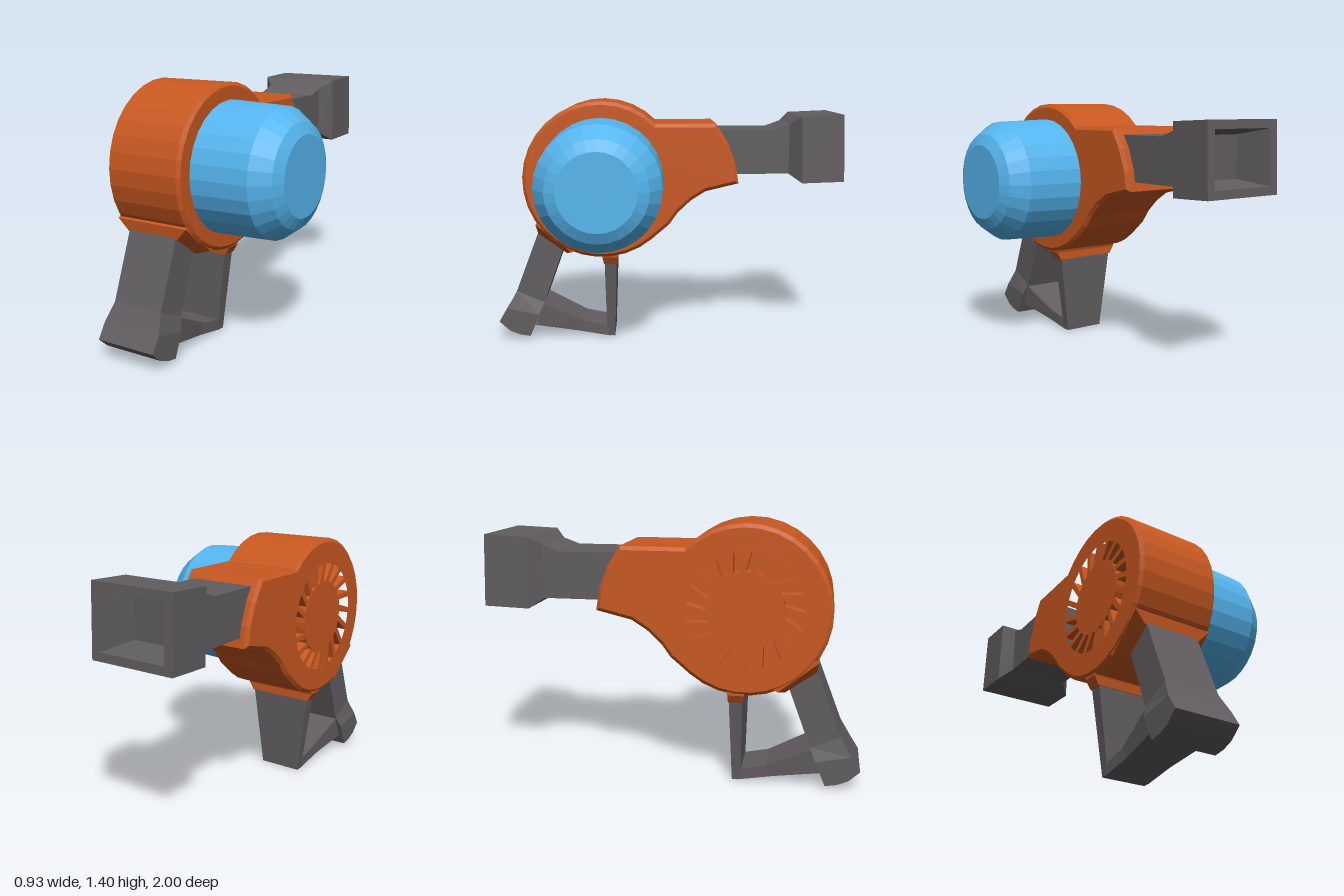
import * as THREE from 'three';

const material = (color) => new THREE.MeshStandardMaterial({ color, flatShading: true });
const MID_X = -0.225; // centre plane of housing, grip and nozzle
const HUB_Z = 0.385, HUB_Y = 0.955; // fan axis

// Joins rectangular sections [[z, y], [z, y], halfWidth] into a closed solid
function loft(sections) {
  const pos = [], index = [];
  for (const [a, b, w] of sections) {
    pos.push(MID_X - w, a[1], a[0], MID_X + w, a[1], a[0]);
    pos.push(MID_X + w, b[1], b[0], MID_X - w, b[1], b[0]);
  }
  index.push(0, 1, 2, 0, 2, 3);
  for (let s = 0; s < sections.length - 1; s++) {
    for (let i = 0; i < 4; i++) {
      const j = (i + 1) % 4, p = s * 4, q = p + 4;
      index.push(p + i, q + i, q + j, p + i, q + j, p + j);
    }
  }
  const e = (sections.length - 1) * 4;
  index.push(e + 3, e + 2, e + 1, e + 3, e + 1, e);
  const g = new THREE.BufferGeometry();
  g.setAttribute('position', new THREE.Float32BufferAttribute(pos, 3));
  g.setIndex(index);
  const flat = g.toNonIndexed();
  flat.computeVertexNormals();
  return flat;
}

// Round fan housing with the spout, extruded across x
function housingGeometry() {
  const pts = [];
  const from = 2.363, to = -2.27, steps = 24;
  for (let i = 0; i <= steps; i++) {
    const t = from + (to - from) * i / steps;
    pts.push(new THREE.Vector2(HUB_Z + 0.44 * Math.cos(t), HUB_Y + 0.44 * Math.sin(t)));
  }
  for (const [z, y] of [[0, 0.705], [-0.05, 0.775], [-0.13, 0.85], [-0.22, 0.907], [-0.4, 0.95],
    [-0.384, 1.045], [-0.34, 1.163], [-0.277, 1.265]]) pts.push(new THREE.Vector2(z, y));
  const shape = new THREE.Shape(pts);
  const hole = new THREE.Path();
  hole.absarc(HUB_Z, HUB_Y, 0.315, 0, Math.PI * 2, true);
  shape.holes.push(hole);
  const g = new THREE.ExtrudeGeometry(shape, {
    depth: 0.425, curveSegments: 16, bevelEnabled: true, bevelSegments: 1,
    bevelThickness: 0.016, bevelSize: 0.02, bevelOffset: 0,
  });
  // keep the outline at its drawn size
  g.translate(-HUB_Z, -HUB_Y, 0).scale(0.97, 0.97, 1).translate(HUB_Z, HUB_Y, 0);
  return g.rotateY(-Math.PI / 2).translate(-0.009, 0, 0);
}

export function createModel() {
  const model = new THREE.Group();
  const orange = material(0xc85820), grey = material(0x615d60), blue = material(0x55b5ee);
  const add = (name, geometry, mat, parent = model) => {
    const mesh = new THREE.Mesh(geometry, mat);
    mesh.name = name;
    parent.add(mesh);
    return mesh;
  };

  add('housing', housingGeometry(), orange);

  // Motor cover on the left side
  const profile = [[0, -0.05], [0.355, -0.05], [0.355, 0.01], [0.344, 0.335], [0.275, 0.432], [0.213, 0.463], [0, 0.463]]
    .map(([r, x]) => new THREE.Vector2(r, x));
  add('motorCover', new THREE.LatheGeometry(profile, 28).rotateZ(-Math.PI / 2).translate(0, HUB_Y, HUB_Z), blue);

  // Air intake: recessed floor, hub disc and slanted fins
  const intake = new THREE.Group();
  intake.name = 'airIntake';
  intake.position.set(0, HUB_Y, HUB_Z);
  model.add(intake);
  add('intakeFloor', new THREE.CylinderGeometry(0.33, 0.33, 0.03, 32).rotateZ(Math.PI / 2).translate(-0.36, 0, 0), orange, intake);
  add('intakeHub', new THREE.CylinderGeometry(0.205, 0.205, 0.1, 20).rotateZ(Math.PI / 2).translate(-0.395, 0, 0), orange, intake);
  for (let i = 0; i < 20; i++) {
    const fin = new THREE.BoxGeometry(0.09, 0.15, 0.03).rotateX(0.3)
      .translate(-0.398, 0.26, 0).rotateX(i * Math.PI / 10);
    add('intakeFin', fin, orange, intake);
  }

  // Nozzle with flared hollow end
  add('nozzle', loft([
    [[-0.2, 0.985], [-0.2, 1.235], 0.18],
    [[-0.6, 0.985], [-0.6, 1.235], 0.18],
    [[-0.69, 0.985], [-0.69, 1.268], 0.18],
    [[-0.76, 0.937], [-0.75, 1.315], 0.243],
    [[-1.0, 0.945], [-0.985, 1.325], 0.243],
    [[-0.998, 0.99], [-0.987, 1.28], 0.195],
    [[-0.8, 1.015], [-0.8, 1.245], 0.155],
  ]), grey);

  // Brackets joining the grip to the housing
  add('frontBracket', loft([
    [[0.71, 0.75], [0.5, 0.58], 0.22],
    [[0.765, 0.7], [0.56, 0.537], 0.22],
    [[0.757, 0.637], [0.595, 0.52], 0.16],
  ]), orange);
  add('rearBracket', loft([
    [[0.4, 0.56], [0.28, 0.56], 0.215],
    [[0.385, 0.505], [0.3, 0.505], 0.215],
    [[0.378, 0.46], [0.3, 0.46], 0.188],
  ]), orange);

  // Grip, rear strut and the bar linking them
  add('grip', loft([
    [[0.752, 0.66], [0.61, 0.56], 0.152],
    [[0.895, 0.29], [0.735, 0.22], 0.152],
    [[0.95, 0.19], [0.765, 0.15], 0.178],
    [[1.0, 0.11], [0.82, 0.02], 0.178],
    [[0.94, 0.055], [0.88, 0.03], 0.178],
  ]), grey);
  add('rearStrut', loft([
    [[0.374, 0.48], [0.303, 0.48], 0.183],
    [[0.368, 0.06], [0.318, 0.04], 0.128],
    [[0.36, 0.003], [0.32, 0], 0.124],
  ]), grey);
  add('lowerBar', loft([
    [[0.79, 0.08], [0.74, 0.21], 0.152],
    [[0.54, 0.034], [0.5, 0.092], 0.125],
    [[0.35, 0], [0.35, 0.062], 0.124],
  ]), grey);

  return model;
}
